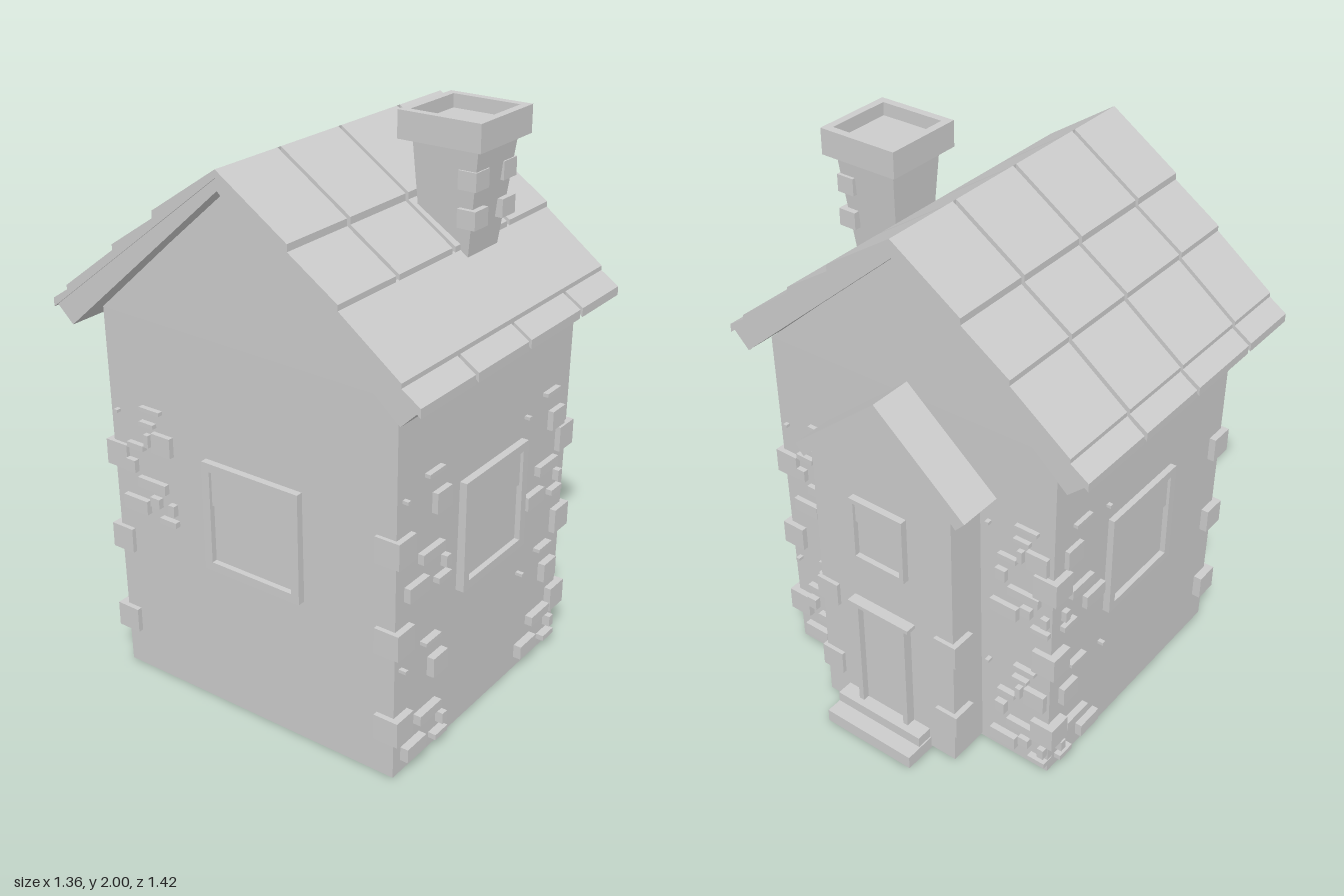
import * as THREE from 'three';

const material = new THREE.MeshStandardMaterial({ color: 0xcccccc, flatShading: true });

function add(parent, name, geometry) {
  const mesh = new THREE.Mesh(geometry, material);
  mesh.name = name;
  parent.add(mesh);
  return mesh;
}

function group(parent, name) {
  const g = new THREE.Group();
  g.name = name;
  parent.add(g);
  return g;
}

// Box given by its limits
function box(parent, name, x0, x1, y0, y1, z0, z1) {
  const g = new THREE.BoxGeometry(x1 - x0, y1 - y0, z1 - z0);
  g.translate((x0 + x1) / 2, (y0 + y1) / 2, (z0 + z1) / 2);
  return add(parent, name, g);
}

// Cross-section of [z, y] points extruded along x
function prism(parent, name, points, x0, x1) {
  const shape = new THREE.Shape(points.map(([z, y]) => new THREE.Vector2(-z, y)));
  const g = new THREE.ExtrudeGeometry(shape, { depth: x1 - x0, bevelEnabled: false });
  g.rotateY(Math.PI / 2).translate(x0, 0, 0);
  return add(parent, name, g);
}

// Rectangular ring lying in the xy plane
function ring(x0, x1, y0, y1, border, depth) {
  const rect = (C, d) => new C([[x0 + d, y0 + d], [x1 - d, y0 + d], [x1 - d, y1 - d], [x0 + d, y1 - d]]
    .map(p => new THREE.Vector2(...p)));
  const shape = rect(THREE.Shape, 0);
  shape.holes.push(rect(THREE.Path, border));
  return new THREE.ExtrudeGeometry(shape, { depth, bevelEnabled: false });
}

// Sash window on a wall plane at z = 0 of its parent
function addWindow(parent, x0, x1, y0, y1, border, split) {
  const w = group(parent, 'window');
  add(w, 'windowFrame', ring(x0, x1, y0, y1, border, 0.045)).position.z = -0.02;
  box(w, 'upperSash', x0 + border, x1 - border, split, y1 - border, -0.02, 0.014);
  box(w, 'lowerSash', x0 + border, x1 - border, y0 + border, split, -0.02, 0.005);
}

// Small wall stones: x0, x1, y0, y1
const STONES = [
  [-0.42, -0.34, 0.29, 0.36], [-0.49, -0.37, 0.145, 0.18], [-0.36, -0.335, 0.075, 0.115],
  [-0.56, -0.455, 0.045, 0.095], [-0.40, -0.33, 0.035, 0.055], [-0.465, -0.38, 0.43, 0.443],
  [-0.58, -0.565, 0.392, 0.403],
];
const EXTRA_STONES = [
  [-0.455, -0.435, 0.30, 0.345], [-0.54, -0.50, 0.19, 0.235], [-0.47, -0.41, 0.375, 0.39],
  [-0.44, -0.40, 0.085, 0.12], [-0.53, -0.46, 0.28, 0.30],
];

function addStones(parent, offset, levels, sign = 1, stones = STONES) {
  const g = group(parent, 'wallStones');
  for (const level of levels)
    for (const [a, b, y0, y1] of stones) {
      const u = [sign * a + offset, sign * b + offset].sort((p, q) => p - q);
      box(g, 'stone', u[0], u[1], y0 + level, y1 + level, -0.03, 0.02);
    }
}

// A wall frame whose local +z points out of the house
function wall(parent, name, angle, distance) {
  const g = group(parent, name);
  g.rotation.y = angle;
  g.position.set(Math.sin(angle) * distance, 0, Math.cos(angle) * distance);
  return g;
}

export function createModel() {
  const house = new THREE.Group();
  house.name = 'house';

  // Gabled body, slightly wider towards the eaves
  const body = prism(house, 'body',
    [[-0.56, 0], [0.59, 0], [0.59, 1.325], [0, 1.85], [-0.56, 1.345]], -0.61, 0.415);
  const pos = body.geometry.attributes.position;
  for (let i = 0; i < pos.count; i++) {
    if (pos.getY(i) > 0.01) continue;
    pos.setX(i, pos.getX(i) - Math.sign(pos.getX(i)) * 0.01);
    pos.setZ(i, pos.getZ(i) - Math.sign(pos.getZ(i)) * 0.013);
  }
  body.geometry.computeVertexNormals();

  // Wall details
  const LOW = 0, HIGH = 0.592;
  const front = wall(house, 'frontWall', 0, 0.587);
  addWindow(front, -0.265, 0.11, 0.53, 0.92, 0.03, 0.765);
  addStones(front, 0, [LOW, HIGH]);
  addStones(front, 0.70, [LOW, HIGH]);

  const back = wall(house, 'backWall', Math.PI, 0.553);
  addWindow(back, -0.11, 0.265, 0.53, 0.92, 0.03, 0.765);
  addStones(back, -0.695, [LOW, HIGH], -1);

  const left = wall(house, 'leftWall', Math.PI / 2, 0.41);
  for (const offset of [0.02, 0.88]) {
    addStones(left, offset, [LOW, HIGH]);
    addStones(left, offset, [LOW, HIGH], 1, EXTRA_STONES);
  }

  const right = wall(house, 'rightWall', -Math.PI / 2, 0.606);
  addWindow(right, -0.15, 0.235, 0.53, 0.92, 0.03, 0.765);
  addStones(right, 0.05, [HIGH]);
  addStones(right, 0.05, [HIGH], 1, EXTRA_STONES);

  // Corner stones on the body and the porch
  const corners = group(house, 'cornerStones');
  for (const y of [0.14, 0.46, 0.78])
    for (const x of [-0.62, 0.34])
      for (const z of [0.515, -0.58])
        box(corners, 'cornerStone', x, x + 0.09, y, y + 0.09, z, z + 0.09);
  for (const y of [0.14, 0.46])
    for (const z of [0.22, -0.29])
      box(corners, 'porchCornerStone', 0.48, 0.575, y, y + 0.09, z, z + 0.09);

  // Main roof slab
  const roof = group(house, 'roof');
  prism(roof, 'roofSlab', [[0, 1.89], [0.70, 1.345], [0.64, 1.285], [0, 1.845],
    [-0.635, 1.285], [-0.70, 1.345]], -0.675, 0.475);

  // Overlapping rows of large tiles: z0, y0, z1, y1 along the slope
  const rows = [[0, 1.91, 0.255, 1.74], [0.25, 1.72, 0.43, 1.6],
    [0.425, 1.585, 0.645, 1.42], [0.64, 1.408, 0.71, 1.362]];
  const under = z => 1.885 - 0.779 * z;
  const columns = { 1: [-0.39, -0.09, 0.23], '-1': [-0.44, -0.12, 0.18] };
  for (const side of [1, -1])
    rows.forEach(([z0, y0, z1, y1], r) => {
      const section = [[z0, y0], [z1, y1], [z1, under(z1)], [z0, under(z0)]]
        .map(([z, y]) => [z * side, y]);
      const cuts = side === 1 && r === 2 ? [] : columns[side];
      const edges = [-0.688, ...cuts, 0.488];
      for (let c = 0; c < edges.length - 1; c++)
        prism(roof, 'roofTile', section, edges[c] + 0.008, edges[c + 1] - 0.008);
    });

  // Chimney: stack widening upwards, hollow cap, corner stones
  const chimney = group(house, 'chimney');
  const stack = box(chimney, 'chimneyStack', -0.08, 0.15, 1.55, 1.92, 0.265, 0.50);
  const sp = stack.geometry.attributes.position;
  for (let i = 0; i < sp.count; i++)
    if (sp.getY(i) < 1.7) {
      sp.setX(i, sp.getX(i) < 0 ? -0.05 : 0.12);
      sp.setZ(i, sp.getZ(i) < 0.4 ? 0.285 : 0.455);
    }
  const cap = ring(-0.11, 0.185, -0.525, -0.23, 0.028, 0.09);
  cap.rotateX(-Math.PI / 2).translate(0, 1.91, 0);
  add(chimney, 'chimneyCap', cap);
  box(chimney, 'chimneyCapFloor', -0.09, 0.165, 1.912, 1.955, 0.25, 0.505);
  for (const y of [1.66, 1.78])
    for (const x of [-0.08, 0.08])
      box(chimney, 'chimneyStone', x, x + 0.075, y, y + 0.06, 0.43, 0.495);

  // Porch with its own gable roof
  const porch = group(house, 'porch');
  prism(porch, 'porchBody', [[-0.27, 0.01], [0.30, 0.01], [0.30, 1.09], [0.01, 1.355], [-0.27, 1.09]],
    0.38, 0.56);
  prism(porch, 'porchRoof', [[0.01, 1.385], [0.36, 1.09], [0.325, 1.052], [0.01, 1.348],
    [-0.30, 1.052], [-0.335, 1.09]], 0.40, 0.575);
  const porchFront = wall(porch, 'porchFront', Math.PI / 2, 0.56);
  addWindow(porchFront, -0.13, 0.09, 0.73, 0.98, 0.017, 0.885);

  // Door and steps
  const door = group(house, 'door');
  for (const z of [-0.09, 0.11])
    box(door, 'doorJamb', 0.55, 0.595, 0.08, 0.53, z, z + 0.02);
  box(door, 'doorLintel', 0.55, 0.6, 0.53, 0.545, -0.11, 0.15);
  box(door, 'doorPanel', 0.55, 0.57, 0.08, 0.53, -0.075, 0.115);
  box(door, 'upperStep', 0.55, 0.62, 0, 0.09, -0.16, 0.205);
  box(door, 'lowerStep', 0.55, 0.68, 0, 0.05, -0.165, 0.205);

  return house;
}
